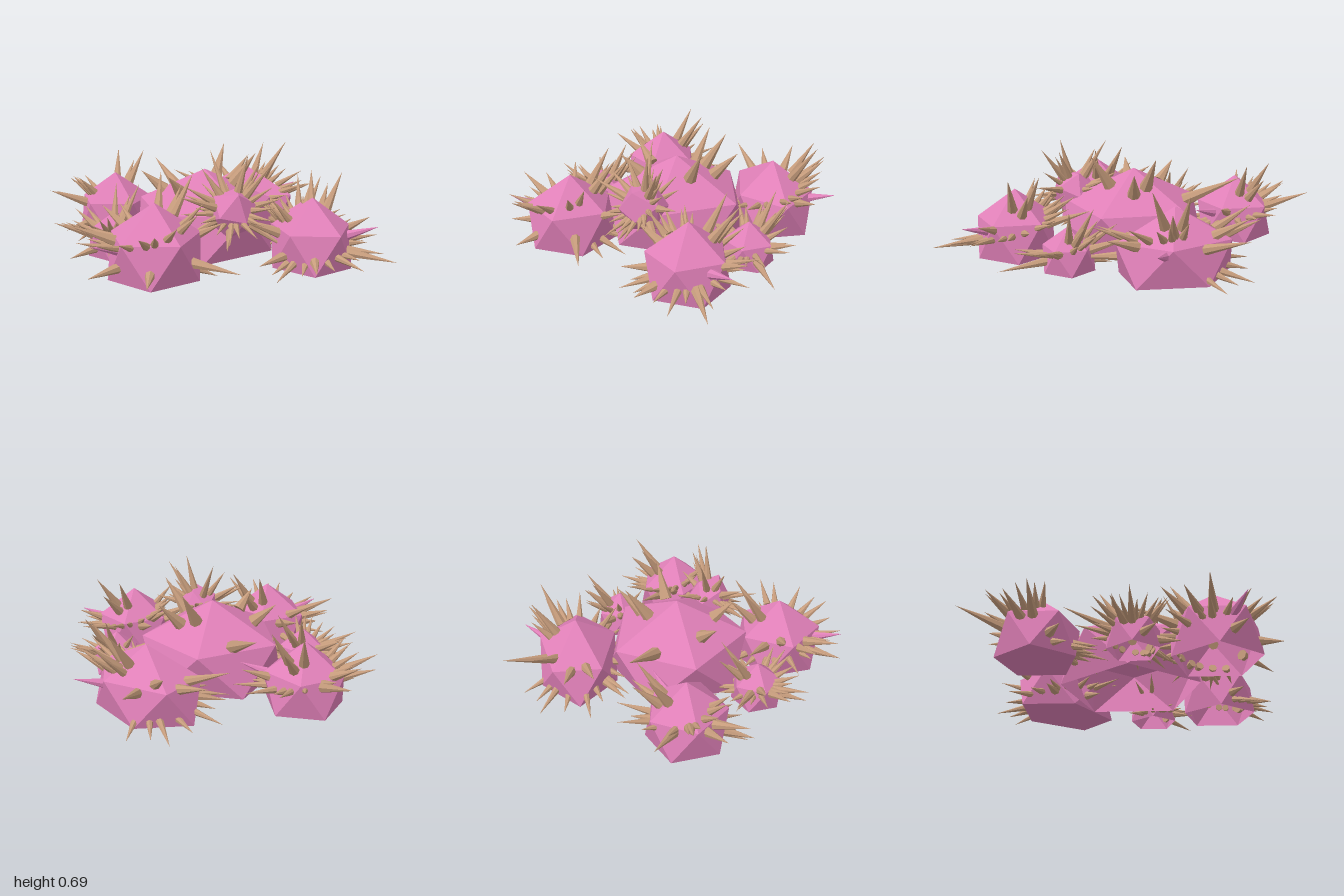
import * as THREE from 'three';

const pink = new THREE.MeshStandardMaterial({ color: 0xe080b8, flatShading: true, side: THREE.DoubleSide });
const tan = new THREE.MeshStandardMaterial({ color: 0xc69c7c, flatShading: true });
const UP = new THREE.Vector3(0, 1, 0);
const rad = THREE.MathUtils.degToRad;

// Faceted dome: apex, five upper corners, five flattened lower corners
function domeGeometry(r, height, closed) {
  const ring = (radius, y, shift) => Array.from({ length: 5 }, (_, i) => {
    const a = (i + shift) * Math.PI * 0.4;
    return [Math.cos(a) * radius, y, Math.sin(a) * radius];
  });
  const upper = ring(r, height * 0.56, 0);
  const lower = ring(r, 0, 0.5);
  const apex = [0, height, 0], floor = [0, 0, 0];
  const p = [];
  for (let i = 0; i < 5; i++) {
    const j = (i + 1) % 5;
    p.push(...apex, ...upper[j], ...upper[i]);
    p.push(...upper[i], ...upper[j], ...lower[i]);
    p.push(...upper[j], ...lower[j], ...lower[i]);
    if (closed) p.push(...floor, ...lower[i], ...lower[j]);
  }
  const g = new THREE.BufferGeometry();
  g.setAttribute('position', new THREE.Float32BufferAttribute(p, 3));
  g.computeVertexNormals();
  return g;
}

// Cone running from the root to the tip
function spike(root, tip, radius, material, name) {
  const dir = tip.clone().sub(root);
  const len = dir.length();
  const m = new THREE.Mesh(new THREE.ConeGeometry(radius, len, 7), material);
  m.name = name;
  m.position.copy(root).addScaledVector(dir, 0.5);
  m.quaternion.setFromUnitVectors(UP, dir.normalize());
  return m;
}

// Long spikes shared by the outer balls: azimuth, elevation (degrees), length beyond the ball
const longSpikes = [
  [-102, 20, 0.28], [44, -4, 0.28], [-68, 57, 0.24], [-27, 55, 0.25], [-48, 45, 0.2], [0, 20, 0.17],
  [186, 22, 0.24], [205, 19, 0.2], [160, -8, 0.17], [109, -10, 0.13], [232, 30, 0.19],
];
// The large middle ball carries a few upright spikes instead
const centreSpikes = [
  [-105, 25, 0.3], [-50, 55, 0.12], [-26, 45, 0.1], [28, 55, 0.12], [195, 40, 0.08], [145, 45, 0.05],
];

const balls = [
  { name: 'centreBall', x: 0.02, z: 0.04, r: 0.46, height: 0.51, fill: 0, spikes: centreSpikes },
  { name: 'backRightBall', x: -0.48, z: -0.49, r: 0.25, height: 0.41, turn: -6, fill: 18, pinkAt: 20, closed: true },
  { name: 'backLeftBall', x: 0.47, z: -0.44, r: 0.26, height: 0.42, turn: 28, fill: 20, pinkAt: -10, stretch: 1.4, yaw: 45, closed: true },
  { name: 'rightSmallBall', x: -0.6, z: 0.08, r: 0.16, height: 0.27, turn: -5, fill: 17 },
  { name: 'leftSmallBall', x: 0.65, z: 0.17, r: 0.16, height: 0.27, turn: -5, fill: 17 },
  { name: 'frontRightBall', x: -0.44, z: 0.56, r: 0.28, height: 0.44, fill: 20, pinkAt: 158 },
  { name: 'frontLeftBall', x: 0.52, z: 0.63, r: 0.25, height: 0.42, fill: 20, pinkAt: 19 },
  { name: 'frontPerchedBall', x: 0.07, z: 0.41, r: 0.14, height: 0.25, base: 0.28, tilt: 40, fill: 18 },
];

function buildBall(spec, index) {
  const { x, z, r, height, base = 0.02, turn = 0, tilt = 0, stretch = 1, yaw = 0, fill, pinkAt, closed,
    spikes = longSpikes } = spec;
  const group = new THREE.Group();
  group.name = spec.name;
  group.position.set(x, base, z);
  group.rotation.x = rad(tilt);
  const body = new THREE.Mesh(domeGeometry(r, height, closed), pink);
  body.name = 'ballBody';
  body.scale.x = stretch;
  body.rotation.y = -rad(yaw);
  group.add(body);

  const centre = new THREE.Vector3(0, height * 0.3, 0);
  const radius = 0.02 + r * 0.05;
  // Root lies just under the surface, on an ellipsoid inside the dome
  const addSpike = (azimuth, elevation, length, width, mat = tan, name = 'spike') => {
    const a = rad(azimuth), e = rad(elevation), local = a - rad(yaw);
    const d = new THREE.Vector3(Math.cos(a) * Math.cos(e), Math.sin(e), Math.sin(a) * Math.cos(e));
    const side = 1 / Math.hypot(Math.cos(local) / (r * stretch), Math.sin(local) / r);
    const depth = 0.85 / Math.hypot(Math.cos(e) / side, Math.sin(e) / (height * 0.7));
    const tip = centre.clone().addScaledVector(d, side + length);
    tip.y = Math.max(tip.y, -0.01);
    group.add(spike(centre.clone().addScaledVector(d, depth), tip, width, mat, name));
  };
  spikes.forEach(([a, e, length]) => addSpike(a + turn, e, length, radius));
  if (pinkAt !== undefined) addSpike(pinkAt, 16, 0.17, radius, pink, 'pinkSpike');

  // Shorter spikes scattered around the flanks, most of them low
  for (let i = 0; i < fill; i++) {
    const t = (i * 0.618 + index * 0.3) % 1;
    addSpike(i * 137.5 + index * 40, -20 + 70 * t ** 1.3, 0.14 + 0.05 * Math.sin(i * 5.1 + index), radius * 0.75);
  }
  return group;
}

export function createModel() {
  const model = new THREE.Group();
  model.name = 'spikyBallCluster';
  balls.forEach((spec, i) => model.add(buildBall(spec, i)));
  return model;
}
